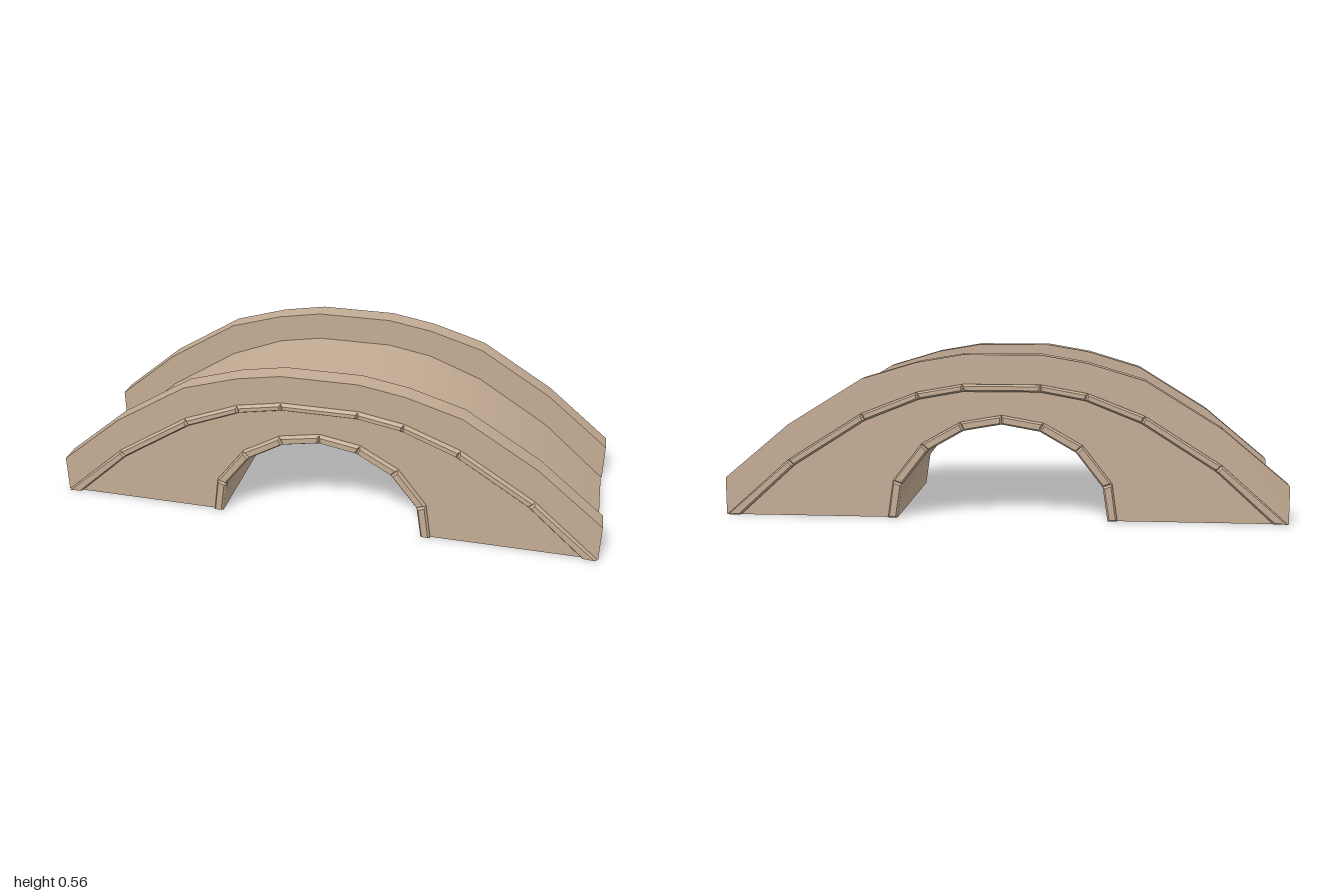
import * as THREE from 'three';
import { toCreasedNormals } from 'three/addons/utils/BufferGeometryUtils.js';

const WALL = 0.305; // distance of the side walls from the centre line
const material = new THREE.MeshStandardMaterial({ color: 0xc4ac94, side: THREE.DoubleSide });

// Half profiles from the foot to the crown, mirrored into full arches
const mirror = (half) => {
  const left = half.filter(([x]) => x > 0).reverse().map(([x, y]) => [-x, y]);
  return [...half, ...left].map(([x, y]) => new THREE.Vector2(x, y));
};
const railTop = mirror([[0.97, 0], [0.97, 0.13], [0.742, 0.32], [0.483, 0.48], [0.29, 0.538], [0.133, 0.565]]);
const deckTop = mirror([[0.966, 0], [0.742, 0.198], [0.483, 0.362], [0.29, 0.437], [0.133, 0.465]]);
const deckUnder = mirror([[0.918, 0], [0.722, 0.178], [0.472, 0.337], [0.284, 0.412], [0.131, 0.44]]);
const archOuter = mirror([[0.395, 0], [0.376, 0.13], [0.275, 0.26], [0.142, 0.335], [0, 0.36]]);
const archInner = mirror([[0.362, 0], [0.344, 0.118], [0.252, 0.236], [0.13, 0.306], [0, 0.329]]);

const band = (outer, inner) => new THREE.Shape([...outer, ...[...inner].reverse()]);

function add(parent, name, geometry) {
  const mesh = new THREE.Mesh(geometry, material);
  mesh.name = name;
  parent.add(mesh);
  return mesh;
}

function slab(shape, z0, z1) {
  const g = new THREE.ExtrudeGeometry(shape, { depth: z1 - z0, bevelEnabled: false });
  return toCreasedNormals(g.translate(0, 0, z0), 0.55);
}

// A row of bevelled stones following an arch, proud of the wall
function stones(parent, name, outer, inner) {
  const row = new THREE.Group();
  row.name = name;
  for (let i = 0; i < outer.length - 1; i++) {
    const shape = new THREE.Shape([outer[i], outer[i + 1], inner[i + 1], inner[i]]);
    const g = new THREE.ExtrudeGeometry(shape, {
      depth: 0.012, bevelThickness: 0.01, bevelSize: 0.006, bevelOffset: -0.006, bevelSegments: 1,
    });
    add(row, 'trimStone', g.translate(0, 0, WALL - 0.005));
  }
  parent.add(row);
}

export function createModel() {
  const model = new THREE.Group();
  model.name = 'archBridge';

  // Curved roadway and the vault below it, open between them at the feet
  add(model, 'deck', slab(band(deckTop, deckUnder), -WALL, WALL));
  add(model, 'archVault', slab(band(archOuter, archInner), -WALL, WALL));

  // Both sides: wall, parapet and two rows of trim
  for (const [name, turn] of [['frontSide', 0], ['backSide', Math.PI]]) {
    const side = new THREE.Group();
    side.name = name;
    add(side, 'sideWall', new THREE.ShapeGeometry(band(deckUnder, archOuter)).translate(0, 0, WALL));
    add(side, 'parapet', slab(band(railTop, deckTop), WALL - 0.072, WALL));
    stones(side, 'deckTrim', deckTop, deckUnder);
    stones(side, 'archTrim', archOuter, archInner);
    side.rotation.y = turn;
    model.add(side);
  }

  // The bridge stands slightly turned
  model.rotation.y = 0.108;
  const root = new THREE.Group();
  root.name = 'bridge';
  root.add(model);
  return root;
}
